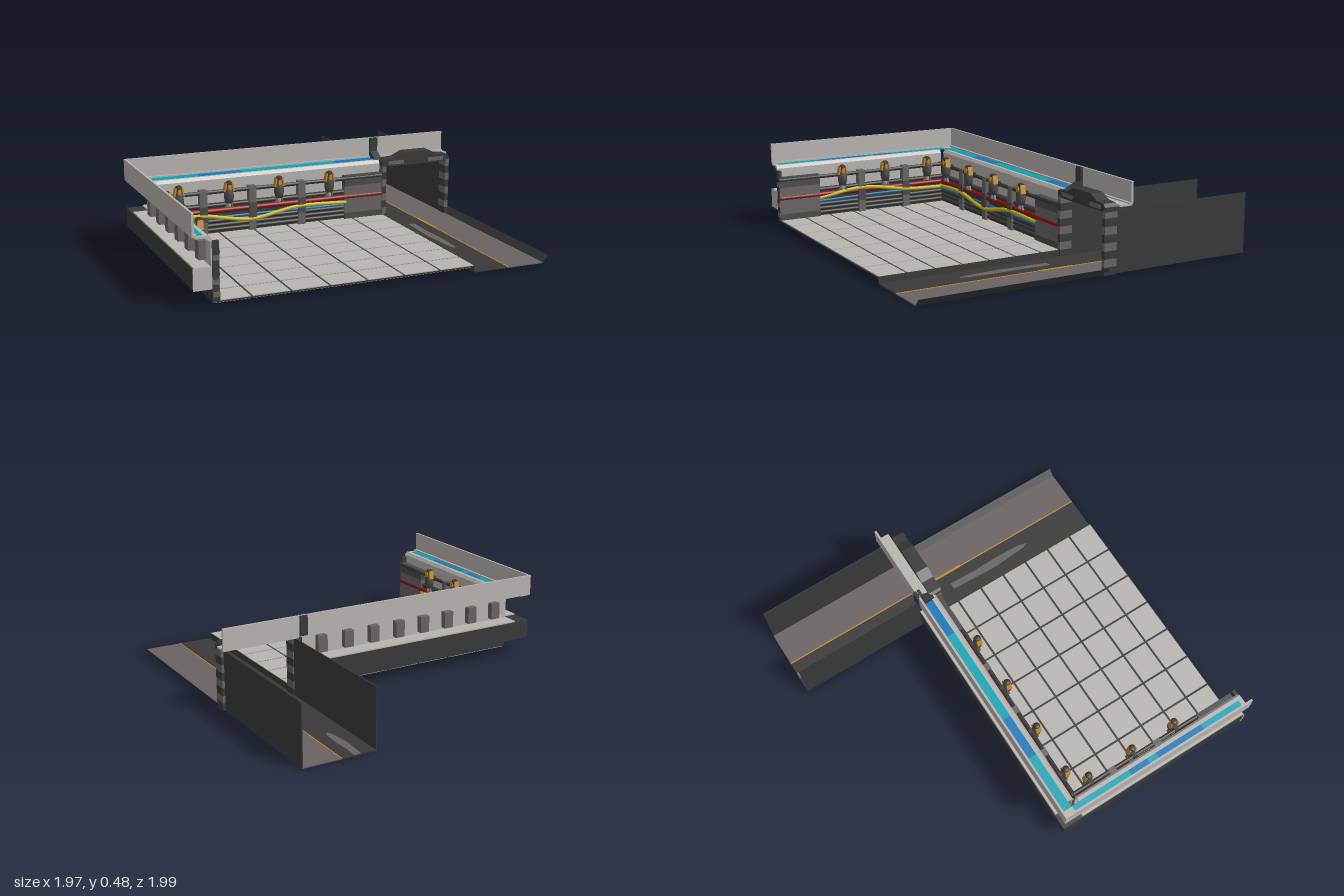
import * as THREE from 'three';

const mat = (name, color) => {
  const m = new THREE.MeshStandardMaterial({ color, side: THREE.DoubleSide });
  m.name = name;
  return m;
};

export function createModel() {
  const light = mat('pale concrete', 0xb8b4b0), dark = mat('dark metal', 0x393939);
  const grey = mat('warm grey', 0x696463), panel = mat('panel grey', 0x4c4b4b);
  const red = mat('red pipe', 0x8e1212), yellow = mat('yellow cable', 0xc4b416);
  const blue = mat('blue glow', 0x0f78b8), cyan = mat('cyan glow', 0x04a4b6);
  const orange = mat('amber', 0xc98a26);
  const root = new THREE.Group();
  root.name = 'wallAndRoadCorner';

  const add = (parent, name, geo, m) => {
    const mesh = new THREE.Mesh(geo, m);
    mesh.name = name;
    parent.add(mesh);
    return mesh;
  };
  // Box from its minimum and maximum corners
  const box = (p, name, m, x0, x1, y0, y1, z0, z1) => {
    const mesh = add(p, name, new THREE.BoxGeometry(x1 - x0, y1 - y0, z1 - z0), m);
    mesh.position.set((x0 + x1) / 2, (y0 + y1) / 2, (z0 + z1) / 2);
    return mesh;
  };
  const shapeOf = pts => new THREE.Shape(pts.map(p => new THREE.Vector2(p[0], p[1])));
  // Extrude a (depth, height) profile along x from s0 to s1
  const profile = (p, name, m, pts, s0, s1) => {
    const g = new THREE.ExtrudeGeometry(shapeOf(pts.map(([z, y]) => [-z, y])), { depth: s1 - s0, bevelEnabled: false });
    g.rotateY(Math.PI / 2);
    g.translate(s0, 0, 0);
    return add(p, name, g, m);
  };
  const rod = (p, name, m, s0, s1, y, z, r) => {
    const mesh = add(p, name, new THREE.CylinderGeometry(r, r, s1 - s0, 10), m);
    mesh.rotation.z = Math.PI / 2;
    mesh.position.set((s0 + s1) / 2, y, z);
  };
  const cable = (p, name, m, pts, r) => add(p, name, new THREE.TubeGeometry(
    new THREE.CatmullRomCurve3(pts.map(q => new THREE.Vector3(...q))), 40, r, 8), m);

  // Tiled floor
  const floor = new THREE.Group();
  floor.name = 'tiledFloor';
  root.add(floor);
  box(floor, 'floorGrout', dark, -0.88, 0.535, 0.03, 0.036, -0.12, 0.98);
  for (let i = 0; i < 7; i++) for (let j = 0; j < 7; j++) {
    const x = -0.893 + i * 0.204, z = -0.125 + j * 0.158;
    box(floor, 'floorTile', light, Math.max(x + 0.006, -0.88), x + 0.198, 0.027, 0.04, z + 0.006, z + 0.152);
  }
  box(floor, 'floorStep', dark, 0.53, 0.536, 0, 0.04, -0.1, 0.98);

  // Sunken road with a central line, worn patches, curb and rear side walls
  const road = new THREE.Group();
  road.name = 'road';
  root.add(road);
  box(road, 'darkLane', dark, 0.535, 0.73, 0, 0.006, -1, 0.98);
  box(road, 'greyLane', grey, 0.73, 0.945, 0, 0.006, -1, 0.98);
  box(road, 'laneLine', orange, 0.731, 0.737, -0.001, 0.008, -1, 0.98);
  box(road, 'laneMark', orange, 0.729, 0.742, 0, 0.009, -0.03, 0.17);
  for (const [z0, z1] of [[-1, -0.69], [0.06, 0.59]]) {
    const l = z1 - z0;
    const g = new THREE.ExtrudeGeometry(shapeOf([[0.625, 0], [0.665, 0], [0.66, l * 0.3], [0.665, l * 0.6],
      [0.66, l * 0.9], [0.645, l], [0.63, l * 0.92], [0.615, l * 0.55], [0.62, l * 0.25]]), { depth: 0.009, bevelEnabled: false });
    g.rotateX(Math.PI / 2);
    g.translate(0, 0.008, z0);
    add(road, 'wornPatch', g, grey);
  }
  const curb = add(road, 'slopedCurb', new THREE.PlaneGeometry(1.08, 0.054), dark);
  curb.geometry.rotateY(Math.PI / 2);
  curb.rotation.z = -0.72;
  curb.position.set(0.963, 0.02, 0.44);
  for (const x of [0.537, 0.945]) box(road, 'roadSideWall', dark, x - 0.003, x + 0.003, 0, 0.335, -1, -0.14);

  // Gate over the road with banded posts
  const gate = new THREE.Group();
  gate.name = 'roadGate';
  root.add(gate);
  for (const [x0, x1] of [[0.52, 0.546], [0.938, 0.962]]) for (let i = 0; i < 8; i++)
    box(gate, 'gatePostBand', i % 2 ? grey : dark, x0, x1, i * 0.0425, (i + 1) * 0.0425, -0.15, -0.075);
  const beam = new THREE.ExtrudeGeometry(shapeOf([[0.52, 0.33], [0.962, 0.33], [0.962, 0.355], [0.945, 0.372],
    [0.885, 0.376], [0.83, 0.405], [0.67, 0.405], [0.61, 0.376], [0.535, 0.372], [0.52, 0.36]]), { depth: 0.075, bevelEnabled: false });
  beam.translate(0, 0, -0.15);
  add(gate, 'gateBeam', beam, dark);
  box(gate, 'beamFace', grey, 0.56, 0.66, 0.34, 0.362, -0.152, -0.073);
  box(gate, 'beamFace', grey, 0.82, 0.92, 0.34, 0.362, -0.152, -0.073);
  profile(gate, 'fasciaPost', dark, [[-0.24, 0.48], [-0.2, 0.48], [-0.2, 0.4], [-0.13, 0.36], [-0.13, 0.32], [-0.24, 0.37]], 0.5, 0.545);
  box(gate, 'fasciaPostLeg', dark, 0.5, 0.54, 0, 0.35, -0.17, -0.12);

  // Wall lamp: bracket, tapered body, amber fins, tip
  const lamp = (p, s) => {
    const g = new THREE.Group();
    g.name = 'wallLamp';
    g.position.set(s, 0, 0.045);
    p.add(g);
    const lathe = (name, m, pts) => add(g, name, new THREE.LatheGeometry(pts.map(q => new THREE.Vector2(...q)), 10), m);
    box(g, 'lampBracket', dark, -0.012, 0.012, 0.265, 0.295, -0.045, 0);
    lathe('lampBody', panel, [[0, 0.215], [0.02, 0.22], [0.028, 0.25], [0.026, 0.29], [0.016, 0.32], [0, 0.325]]);
    lathe('lampCap', dark, [[0.017, 0.315], [0.02, 0.335], [0.012, 0.343], [0, 0.343]]);
    for (const d of [-1, 1]) {
      const fin = box(g, 'lampFin', orange, -0.004, 0.004, 0.285, 0.335, -0.015, 0.015);
      fin.position.x = d * 0.022;
      fin.rotation.z = d * 0.2;
      const claw = box(g, 'lampClaw', grey, -0.004, 0.004, 0.19, 0.23, -0.006, 0.006);
      claw.position.x = d * 0.016;
      claw.rotation.z = d * 0.35;
    }
    box(g, 'lampFrontFin', orange, -0.008, 0.008, 0.295, 0.325, 0.012, 0.022);
    lathe('lampTip', light, [[0, 0.192], [0.012, 0.197], [0.012, 0.22]]);
  };

  // One wall arm along local x; its inner face looks to local +z, o is the outer depth
  const arm = (name, a, b, o, panelRange, posts, lamps) => {
    const g = new THREE.Group();
    g.name = name;
    root.add(g);
    box(g, 'lowerWall', dark, a, b, 0.035, 0.21, -0.02, 0);
    box(g, 'upperWall', light, a, b, 0.21, 0.345, -0.024, -0.018);
    for (const y of [0.06, 0.085, 0.11]) rod(g, 'darkPipe', dark, a, b, y, 0.004, 0.011);
    rod(g, 'redPipe', red, a, b, 0.17, 0.008, 0.014);
    rod(g, 'handRail', dark, a, b, 0.28, 0.012, 0.011);
    rod(g, 'wallTopRail', dark, a, b, 0.2, 0.002, 0.011);
    const [p0, p1] = panelRange;
    box(g, 'endPanel', grey, p0, p1, 0.075, 0.235, -0.018, 0.018);
    for (const [y0, y1] of [[0.04, 0.075], [0.235, 0.295]]) box(g, 'endPanelTrim', panel, p0, p1, y0, y1, -0.018, 0.02);
    for (const s of posts) {
      box(g, 'railPost', grey, s - 0.021, s + 0.021, 0.04, 0.295, -0.018, 0.024);
      box(g, 'railPostBand', panel, s - 0.023, s + 0.023, 0.11, 0.2, 0, 0.027);
    }
    lamps.forEach(s => lamp(g, s));
    // Outer ledge with pale top and row of brackets
    box(g, 'outerLedge', dark, a, b, 0.1, 0.205, o, -0.02);
    box(g, 'ledgeTop', light, a, b, 0.205, 0.212, o + 0.004, -0.02);
    for (let s = a + 0.1; s < b - 0.04; s += 0.165) box(g, 'outerBracket', grey, s - 0.028, s + 0.028, 0.225, 0.32, -0.06, -0.024);
    // Inner lip of the cornice
    profile(g, 'corniceLip', light, [[-0.052, 0.362], [-0.03, 0.362], [-0.016, 0.345], [-0.016, 0.335], [-0.03, 0.335], [-0.052, 0.352]], a, b);
    return g;
  };

  const back = arm('backWall', -0.89, 0.53, -0.125, [0.28, 0.53], [-0.58, -0.29, 0.01], [-0.73, -0.44, -0.14, 0.17]);
  back.position.z = -0.1;
  cable(back, 'yellowCable', yellow, [[-0.87, 0.14, 0.014], [-0.6, 0.15, 0.02], [-0.3, 0.105, 0.02], [-0.02, 0.148, 0.02], [0.29, 0.14, 0.014]], 0.011);
  cable(back, 'blueCable', blue, [[-0.87, 0.125, 0.008], [-0.3, 0.132, 0.014], [0.29, 0.125, 0.008]], 0.007);

  const side = arm('sideWall', -0.98, 0.1, -0.11, [-0.98, -0.73], [-0.46, -0.165], [-0.595, -0.315, -0.03]);
  side.position.x = -0.87;
  side.rotation.y = Math.PI / 2;
  cable(side, 'yellowCable', yellow, [[-0.73, 0.15, 0.014], [-0.45, 0.188, 0.02], [-0.15, 0.148, 0.02], [0.08, 0.138, 0.014]], 0.011);
  cable(side, 'blueCable', blue, [[-0.73, 0.13, 0.008], [-0.3, 0.14, 0.014], [0.08, 0.132, 0.008]], 0.007);
  box(side, 'wallEndPost', dark, -0.984, -0.965, 0.035, 0.335, -0.018, 0.016);
  for (const y of [0.06, 0.12, 0.24]) box(side, 'endPostBand', grey, -0.986, -0.964, y, y + 0.025, -0.016, 0.018);
  box(side, 'ledgeEndCap', light, -0.985, -0.979, 0.1, 0.21, -0.115, -0.02);

  // Ledge corner, closing the two outer ledges
  box(root, 'ledgeCorner', dark, -0.98, -0.885, 0.1, 0.205, -0.225, -0.095);

  // Tall pale fascia round the outside with its soffit
  box(root, 'backFascia', light, -0.985, 0.985, 0.37, 0.48, -0.23, -0.218);
  box(root, 'sideFascia', light, -0.985, -0.973, 0.37, 0.48, -0.23, 0.98);
  box(root, 'backSoffit', light, -0.985, 0.985, 0.362, 0.372, -0.23, -0.204);
  box(root, 'sideSoffit', light, -0.985, -0.96, 0.362, 0.372, -0.23, 0.98);
  box(root, 'gateSoffit', light, 0.545, 0.985, 0.355, 0.365, -0.225, -0.15);
  box(root, 'cornerSoffit', light, -0.975, -0.925, 0.356, 0.362, -0.22, -0.145);
  box(root, 'sideSoffitEnd', light, -0.97, -0.915, 0.352, 0.362, 0.955, 0.98);

  // Glowing strips set into the soffit
  const strip = [[-0.925, -0.58, cyan], [-0.58, -0.32, blue], [-0.32, 0.26, cyan], [0.26, 0.495, blue]];
  for (const [a, b, m] of strip) box(root, 'backGlowStrip', m, a, b, 0.357, 0.363, -0.204, -0.15);
  const sideStrip = [[-0.145, 0.22, cyan], [0.22, 0.34, blue], [0.34, 0.4, cyan], [0.4, 0.7, blue], [0.7, 0.955, cyan]];
  for (const [a, b, m] of sideStrip) box(root, 'sideGlowStrip', m, -0.96, -0.922, 0.357, 0.363, a, b);

  return root;
}
